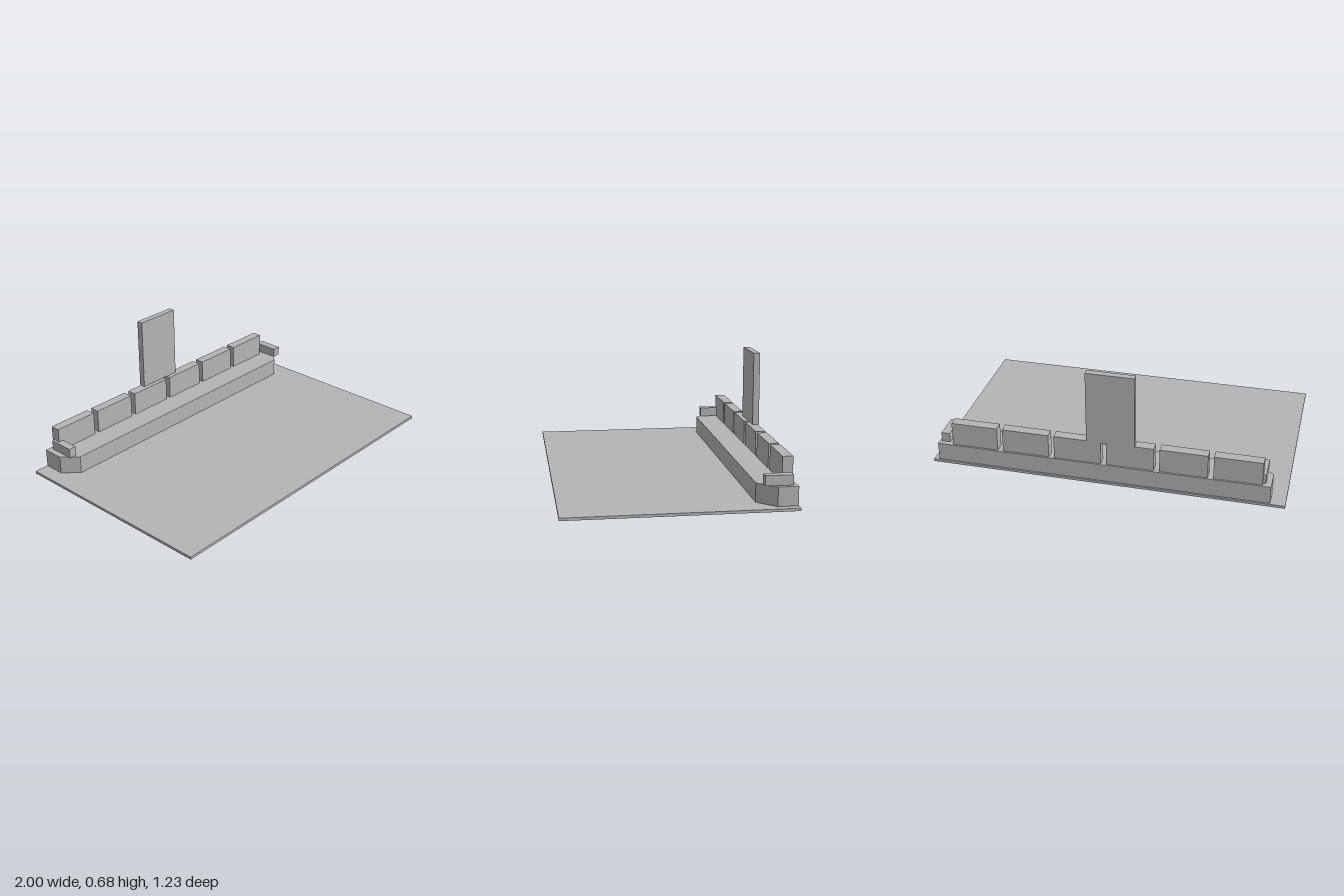
import * as THREE from 'three';

export function createModel() {
  const group = new THREE.Group();
  group.name = 'benchSeating';
  const grey = new THREE.MeshStandardMaterial({ color: 0xb4b4b4 });
  grey.name = 'plain grey';

  const add = (name, geometry) => {
    const mesh = new THREE.Mesh(geometry, grey);
    mesh.name = name;
    group.add(mesh);
    return mesh;
  };

  // Box given by its limits on each axis
  const block = (name, [x0, x1], [y0, y1], [z0, z1]) =>
    add(name, new THREE.BoxGeometry(x1 - x0, y1 - y0, z1 - z0))
      .position.set((x0 + x1) / 2, (y0 + y1) / 2, (z0 + z1) / 2);

  // Thin floor slab
  block('floor', [-1, 1], [0, 0.015], [-0.617, 0.617]);

  // Long seat base with chamfered front corners, outlined in plan (x, z)
  const plan = [
    [-0.918, -0.612], [0.968, -0.612], [0.968, -0.503],
    [0.872, -0.408], [-0.838, -0.408], [-0.918, -0.49],
  ];
  const outline = new THREE.Shape(plan.map(([x, z]) => new THREE.Vector2(x, z)));
  const seat = new THREE.ExtrudeGeometry(outline, { depth: 0.104, bevelEnabled: false });
  seat.rotateX(Math.PI / 2);
  add('seatBase', seat).position.y = 0.122;

  // Row of six back cushions
  for (let i = 0; i < 6; i++) {
    const x = -0.738 + i * 0.297;
    block(`backCushion${i + 1}`, [x - 0.133, x + 0.133], [0.122, 0.26], [-0.602, -0.545]);
  }

  // Armrests at both ends
  block('rightArmrest', [-0.887, -0.843], [0.125, 0.18], [-0.587, -0.438]);
  block('leftArmrest', [0.904, 0.953], [0.125, 0.18], [-0.587, -0.438]);

  // Upright panel above the backs
  block('wallPanel', [-0.171, 0.098], [0.26, 0.683], [-0.608, -0.571]);

  return group;
}
